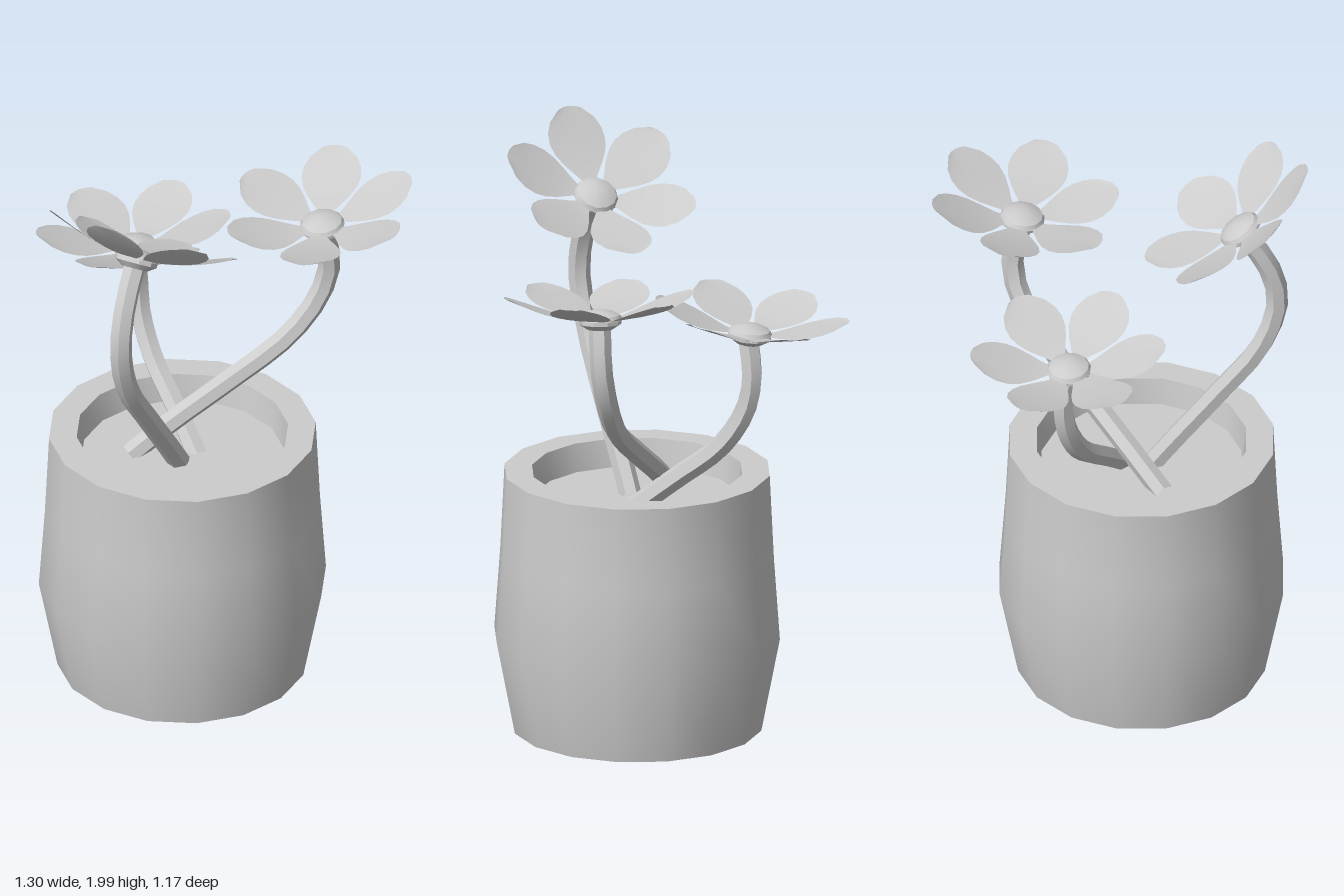
import * as THREE from 'three';
import { toCreasedNormals } from 'three/addons/utils/BufferGeometryUtils.js';

const material = new THREE.MeshStandardMaterial({ color: 0xcccccc });
const thinMaterial = new THREE.MeshStandardMaterial({ color: 0xcccccc, side: THREE.DoubleSide });

function part(name, geometry, mat = material) {
  const mesh = new THREE.Mesh(geometry, mat);
  mesh.name = name;
  return mesh;
}

const lathe = (points, sides, start = 0) => toCreasedNormals(
  new THREE.LatheGeometry(points.map(([r, y]) => new THREE.Vector2(r, y)), sides, start), 0.55);

// Thin petal along +x, curling gently upward, built from cross-sections
function petalGeometry() {
  const halfWidths = [0.014, 0.04, 0.068, 0.09, 0.1, 0.097, 0.08, 0.04];
  const rows = halfWidths.length, cols = 4;
  const geometry = new THREE.PlaneGeometry(1, 1, cols, rows - 1);
  const pos = geometry.attributes.position;
  for (let i = 0; i < rows; i++) {
    const t = i / (rows - 1);
    for (let j = 0; j <= cols; j++) {
      const s = (j / cols) * 2 - 1;
      const x = 0.05 + 0.274 * t - 0.012 * t ** 3 * s * s;
      pos.setXYZ(i * (cols + 1) + j, x, 0.032 + 0.082 * t ** 1.35, -s * halfWidths[i]);
    }
  }
  geometry.computeVertexNormals();
  return geometry;
}

const petal = petalGeometry();
const calyx = lathe([[0, 0], [0.045, 0], [0.072, 0.018], [0.072, 0.034], [0, 0.034]], 10);
const dome = lathe([[0.076, 0.032], [0.067, 0.047], [0.045, 0.058], [0.022, 0.064], [0, 0.066]], 12);

// Flower head: calyx, domed centre and six petals, tilted to face along its normal
function flowerHead(name, position, normal, spinDegrees) {
  const head = new THREE.Group();
  head.name = name;
  head.add(part('calyx', calyx), part('flowerCentre', dome));
  for (let i = 0; i < 6; i++) {
    const leaf = part('petal', petal, thinMaterial);
    leaf.rotation.y = THREE.MathUtils.degToRad(spinDegrees + i * 60);
    head.add(leaf);
  }
  head.position.set(...position);
  head.quaternion.setFromUnitVectors(new THREE.Vector3(0, 1, 0), new THREE.Vector3(...normal).normalize());
  return head;
}

// Six-sided stem along a smooth path
function stem(name, points) {
  const curve = new THREE.CatmullRomCurve3(points.map((p) => new THREE.Vector3(...p)));
  return part(name, toCreasedNormals(new THREE.TubeGeometry(curve, 14, 0.037, 6), 0.6), thinMaterial);
}

const flowers = [
  {
    name: 'right', normal: [0.61, 1, -0.25], spin: 22,
    path: [[-0.155, 0.785, 0.125], [-0.22, 0.88, 0.15], [-0.37, 1.09, 0.21], [-0.49, 1.27, 0.255],
      [-0.54, 1.45, 0.28], [-0.51, 1.6, 0.265], [-0.443, 1.715, 0.235]],
  },
  {
    name: 'left', normal: [-0.14, 1, 0], spin: 40,
    path: [[-0.25, 0.785, -0.015], [-0.12, 0.88, 0.035], [0.06, 1.0, 0.11], [0.26, 1.14, 0.19],
      [0.365, 1.27, 0.225], [0.395, 1.4, 0.245], [0.365, 1.53, 0.248]],
  },
  {
    name: 'back', normal: [0, 1, -0.11], spin: 24,
    path: [[-0.07, 0.77, 0.12], [-0.045, 0.88, -0.02], [-0.02, 1.0, -0.17],
      [-0.005, 1.13, -0.25], [0, 1.25, -0.27], [-0.018, 1.355, -0.26]],
  },
];

export function createModel() {
  const model = new THREE.Group();
  model.name = 'pottedFlowers';

  // Sixteen-sided pot with a thick rim, and the soil inside
  const pot = new THREE.Group();
  pot.name = 'pot';
  pot.position.set(-0.125, 0, 0.105);
  const turn = Math.PI / 16;
  pot.add(part('potBody', lathe([[0, 0], [0.416, 0], [0.478, 0.32], [0.458, 0.6], [0.444, 0.885],
    [0.352, 0.885], [0.335, 0.77]], 16, turn)));
  const soil = part('soil', new THREE.CircleGeometry(0.34, 16, turn));
  soil.rotation.x = -Math.PI / 2;
  soil.position.y = 0.79;
  pot.add(soil);
  model.add(pot);

  // Three flowers on curved stems
  for (const { name, path, normal, spin } of flowers) {
    model.add(stem(name + 'Stem', path));
    model.add(flowerHead(name + 'Flower', path[path.length - 1], normal, spin));
  }
  return model;
}
